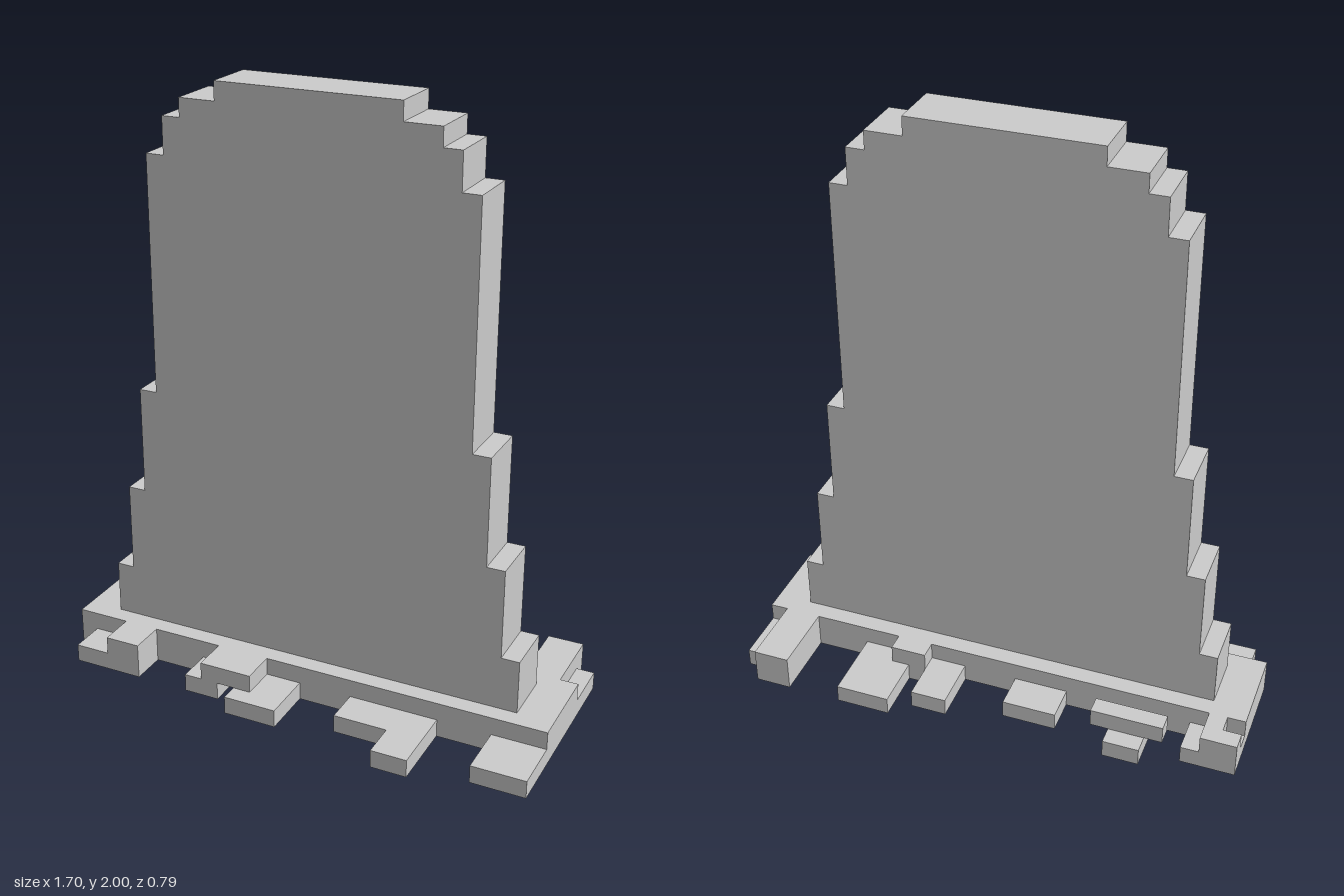
import * as THREE from 'three';

const U = 2 / 33; // one block of the grid
const material = new THREE.MeshStandardMaterial({ color: 0xcccccc, flatShading: true });

// Box given by its limits in blocks
function block(name, x0, x1, y0, y1, z0, z1) {
  const geometry = new THREE.BoxGeometry((x1 - x0) * U, (y1 - y0) * U, (z1 - z0) * U);
  geometry.translate((x0 + x1) * U / 2, (y0 + y1) * U / 2, (z0 + z1) * U / 2);
  const mesh = new THREE.Mesh(geometry, material);
  mesh.name = name;
  return mesh;
}

// Upright slab: mirrored stepped outline, extruded through its thickness
function createSlab() {
  const steps = [[12, 5], [11, 10], [10, 16], [9, 29], [8, 31], [7, 32], [5, 33]]; // half width, top
  const right = [];
  let bottom = 2;
  for (const [half, top] of steps) {
    right.push([half, bottom], [half, top]);
    bottom = top;
  }
  const left = right.map(([x, y]) => [-x, y]).reverse();
  const outline = [...right, ...left].map(([x, y]) => new THREE.Vector2(x * U, y * U));
  const geometry = new THREE.ExtrudeGeometry(new THREE.Shape(outline), { depth: 3 * U, bevelEnabled: false });
  geometry.translate(0, 0, -1.5 * U);
  const mesh = new THREE.Mesh(geometry, material);
  mesh.name = 'slab';
  return mesh;
}

export function createModel() {
  const model = new THREE.Group();
  model.name = 'steppedStone';
  model.add(createSlab(), block('base', -14, 14, 0, 2, -2.5, 2.5));

  // Loose ground blocks in front: x0, x1, y0, y1, z0, z1
  const front = [
    [-13, -11, 0, 1, 2.5, 4.5],
    [-11, -9, 0, 2, 2.5, 4.5],
    [-6, -4, 0, 1, 2.5, 4.5],
    [-5, -2, 1, 2, 2.5, 4.5],
    [-3, 0, 0, 1, 2.5, 5.5],
    [3, 6, 0, 1, 2.5, 4.5],
    [6, 8, 0, 1, 2.5, 6.5],
    [11, 14, 0, 1, 2.5, 5.5],
  ];
  // Loose ground blocks behind
  const back = [
    [-14, -13, 0, 1, -3.5, -2.5],
    [-14, -13, 0, 2, -4.5, -3.5],
    [-13, -12, 0, 2, -4.5, -2.5],
    [-12, -11, 0, 1, -4.5, -2.5],
    [-9, -7, 0, 1, -5.5, -2.5],
    [-10, -6, 1, 2, -4.5, -3.5],
    [-4, -1, 0, 1, -4.5, -2.5],
    [2, 4, 0, 1, -5.5, -2.5],
    [4, 6, 0, 2, -3.5, -2.5],
    [5, 8, 0, 1, -6.5, -2.5],
    [11, 13, 0, 2, -6.5, -2.5],
    [13, 14, 0, 1, -5.5, -2.5],
  ];
  for (const [name, list] of [['frontGround', front], ['backGround', back]]) {
    const group = new THREE.Group();
    group.name = name;
    list.forEach((limits, i) => group.add(block(`${name}Block${i + 1}`, ...limits)));
    model.add(group);
  }
  return model;
}
